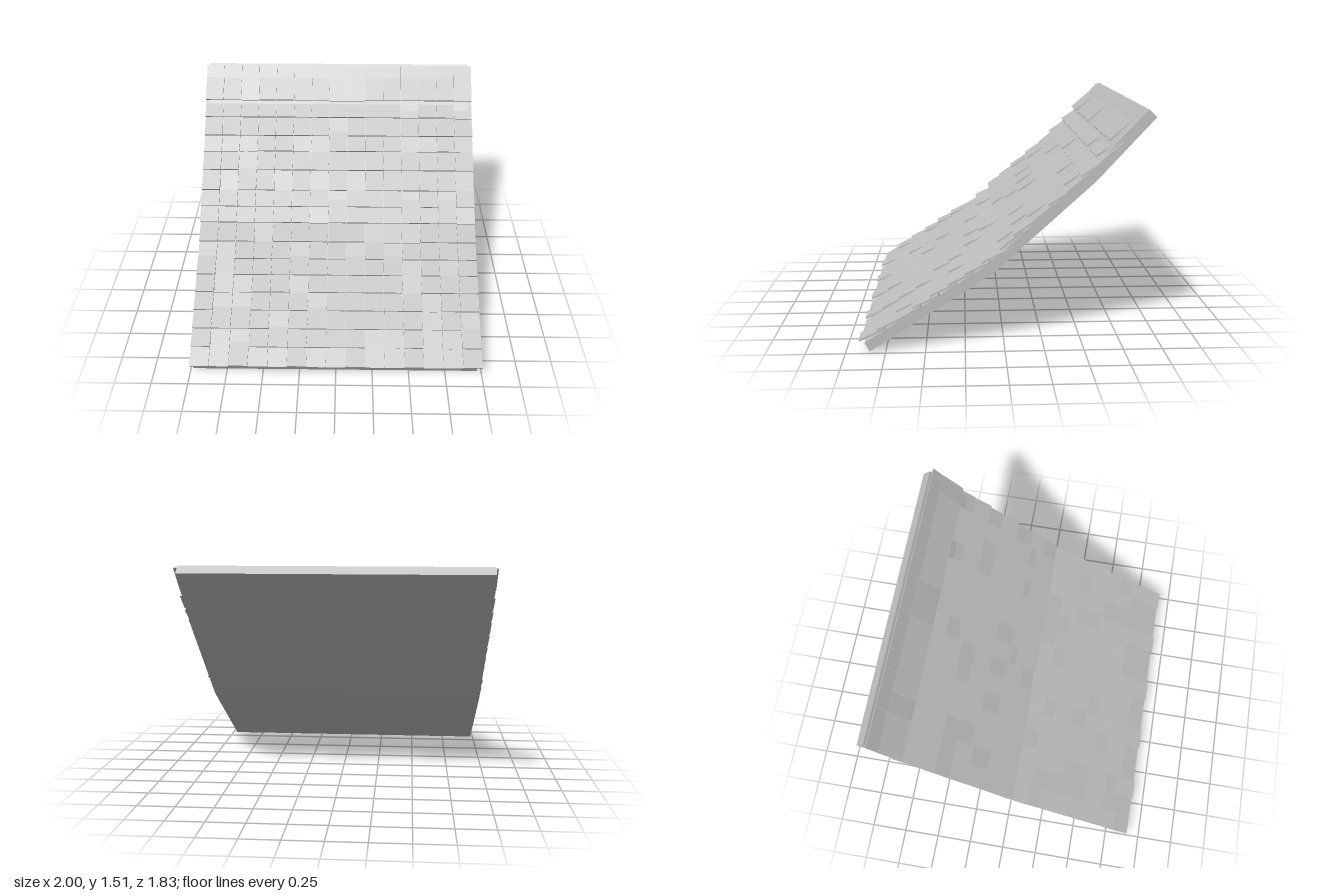
import * as THREE from 'three';

const COLUMNS = 15, PITCH = 2 / COLUMNS;
const LENGTH = 0.18, THICK = 0.013;
const rad = THREE.MathUtils.degToRad;

// Front edge [z, y] of each course of shingles, bottom to top
const COURSES = [
  [0.915, 0.09], [0.80, 0.16], [0.69, 0.23], [0.577, 0.30], [0.469, 0.375], [0.36, 0.445],
  [0.258, 0.51], [0.15, 0.585], [0.047, 0.68], [-0.047, 0.757], [-0.14, 0.84], [-0.26, 0.94],
  [-0.366, 1.04], [-0.459, 1.12], [-0.562, 1.22], [-0.645, 1.32], [-0.71, 1.39],
];

function seeded(seed) {
  return () => {
    seed = (seed * 16807) % 2147483647;
    return seed / 2147483647;
  };
}

export function createModel() {
  const model = new THREE.Group();
  model.name = 'shingledRoof';
  const grey = new THREE.MeshStandardMaterial({ color: 0xc0c0c0 });
  grey.name = 'roofGrey';

  // Bent roof slab: side profile [z, y] extruded across the width
  const profile = [
    [0.85, 0], [0.07, 0.505], [-0.56, 1.083], [-0.915, 1.47],
    [-0.866, 1.515], [-0.515, 1.13], [0.107, 0.56], [0.882, 0.058],
  ].map(([z, y]) => new THREE.Vector2(-z, y));
  const slabGeometry = new THREE.ExtrudeGeometry(new THREE.Shape(profile), { depth: 1.953, bevelEnabled: false });
  slabGeometry.rotateY(Math.PI / 2).translate(-0.983, 0, 0);
  const slab = new THREE.Mesh(slabGeometry, grey);
  slab.name = 'roofSlab';
  model.add(slab);

  // Shingle with its upper back edge at the origin, running towards +z
  const shingleGeometry = new THREE.BoxGeometry(PITCH - 0.003, THICK, LENGTH);
  shingleGeometry.translate(0, -THICK / 2, LENGTH / 2);

  const random = seeded(4177);
  COURSES.forEach(([z, y], row) => {
    const course = new THREE.Group();
    course.name = `shingleCourse${row + 1}`;
    const slope = rad(row < 8 ? 33 : row < 15 ? 41.5 : 48);
    const raised = slope - rad(7.5);
    course.position.set(0, y + LENGTH * Math.sin(raised), z - LENGTH * Math.cos(raised));

    for (let col = 0; col < COLUMNS; col++) {
      // Most shingles are lifted at the front; some lie nearly flat on the slope
      const flat = row === 0 ? col % 3 !== 2 : random() < 0.3;
      const lift = row === COURSES.length - 1 ? 0 : flat ? rad(2) : rad(7.5);
      const shingle = new THREE.Mesh(shingleGeometry, grey);
      shingle.name = 'shingle';
      shingle.position.x = -1 + (col + 0.5) * PITCH;
      shingle.rotation.set(slope - lift, (random() - 0.5) * 0.012, 0);
      course.add(shingle);
    }
    model.add(course);
  });
  return model;
}
